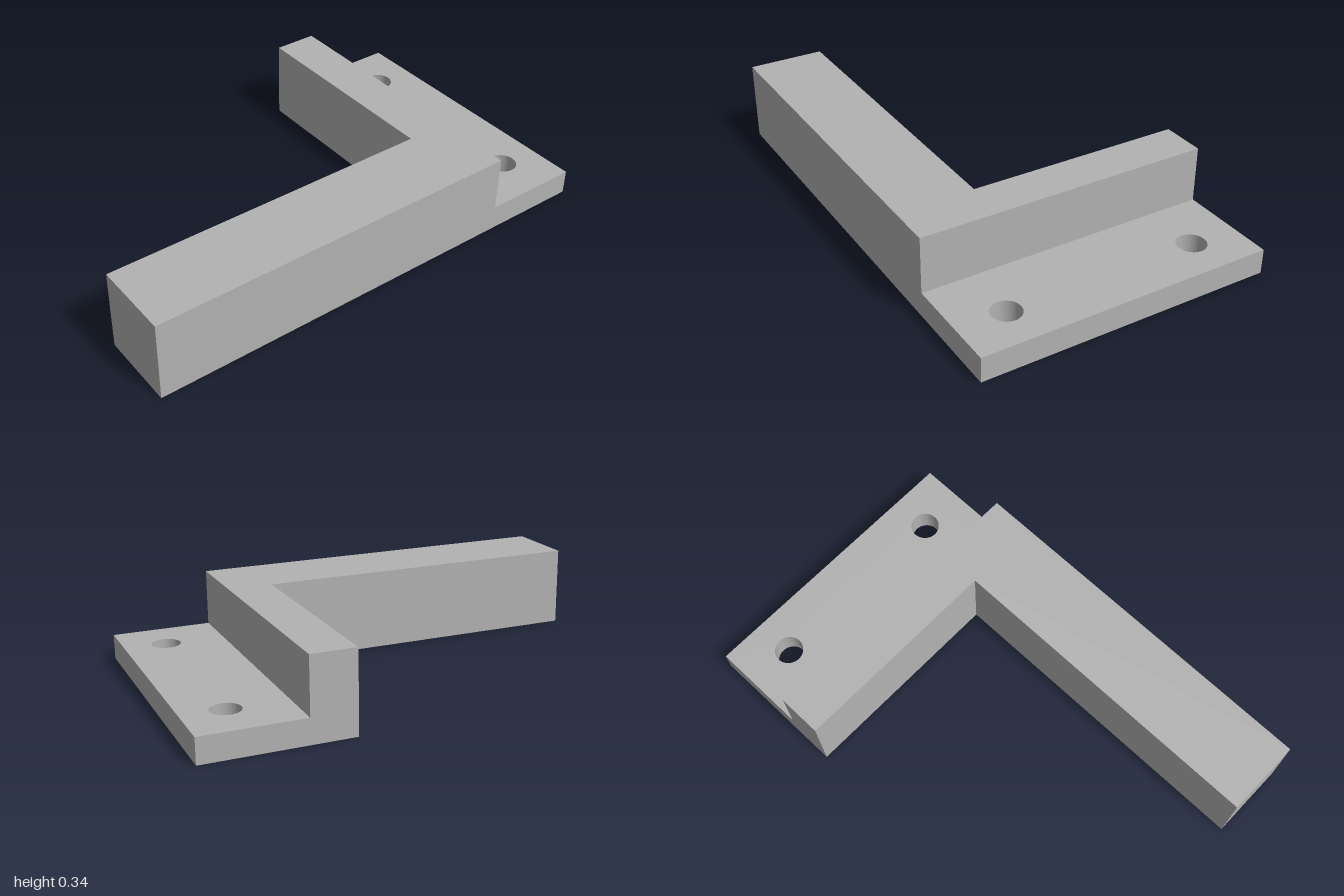
import * as THREE from 'three';
import { toCreasedNormals } from 'three/addons/utils/BufferGeometryUtils.js';

const HALF_DEPTH = 0.615;
const STEP_X = 0.585; // where the tall wall meets the thin flange

// Extrudes a plan outline of [x, z] points upward from y = 0
function plate(name, points, holes, height, material) {
  const shape = new THREE.Shape(points.map(([x, z]) => new THREE.Vector2(x, -z)));
  for (const [x, z, r] of holes) {
    shape.holes.push(new THREE.Path().absarc(x, -z, r, 0, Math.PI * 2, true));
  }
  const extruded = new THREE.ExtrudeGeometry(shape, { depth: height, bevelEnabled: false, curveSegments: 40 });
  extruded.rotateX(-Math.PI / 2);
  const mesh = new THREE.Mesh(toCreasedNormals(extruded, Math.PI / 6), material);
  mesh.name = name;
  return mesh;
}

export function createModel() {
  const group = new THREE.Group();
  group.name = 'angleBracket';
  const grey = new THREE.MeshStandardMaterial({ color: 0xb2b2b2 });
  grey.name = 'grey';

  // Tall L-shaped body: long arm along the front, wall running to the back
  group.add(plate('armAndWall', [
    [-1, HALF_DEPTH], [STEP_X, HALF_DEPTH], [STEP_X, -HALF_DEPTH],
    [0.4, -HALF_DEPTH], [0.4, 0.29], [-1, 0.29],
  ], [], 0.338, grey));

  // Thin mounting flange with two through holes
  group.add(plate('mountingFlange', [
    [STEP_X, HALF_DEPTH], [1, HALF_DEPTH], [1, -HALF_DEPTH], [STEP_X, -HALF_DEPTH],
  ], [-0.41, 0.41].map((z) => [0.827, z, 0.06]), 0.104, grey));

  return group;
}
